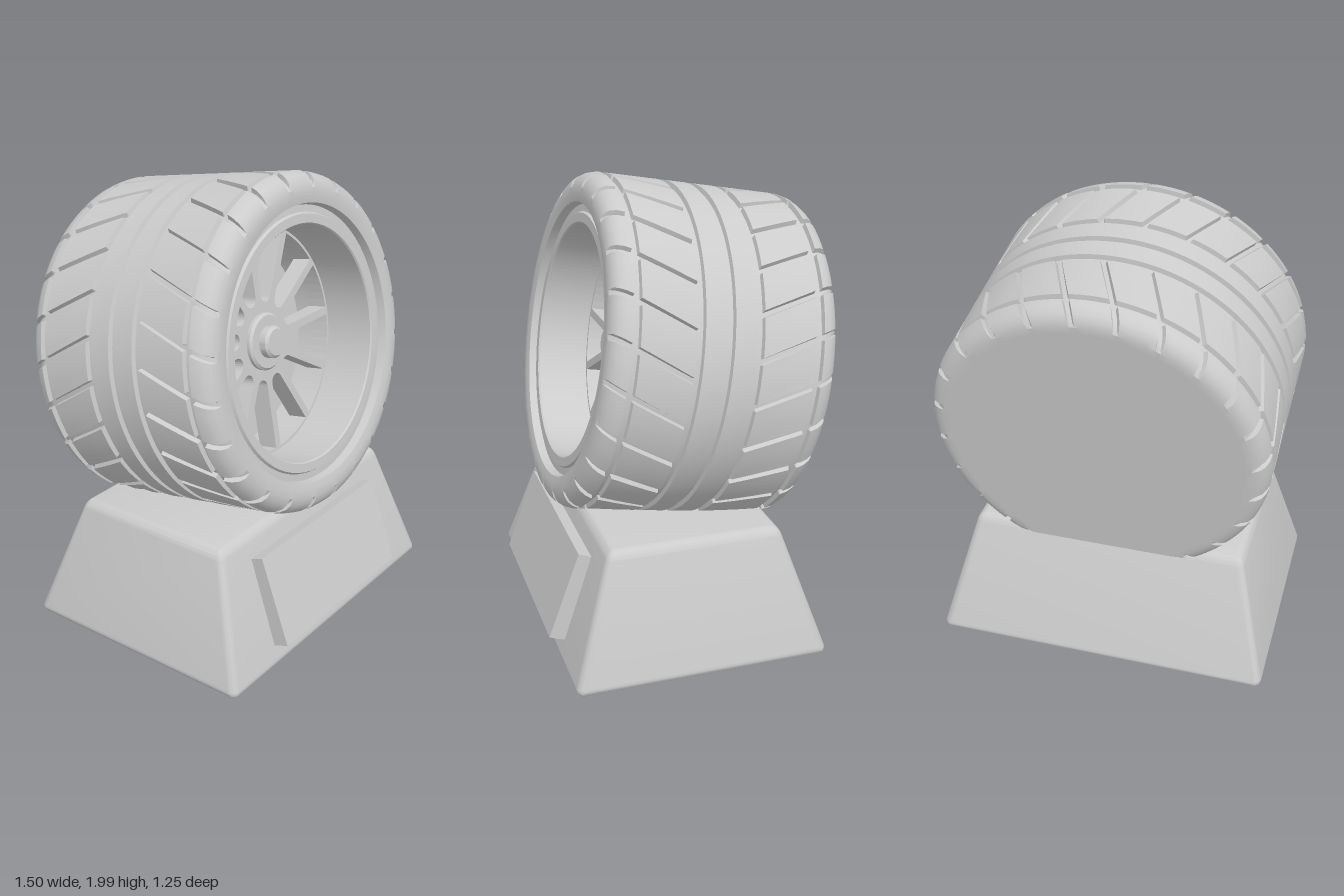
import * as THREE from 'three';
import { toCreasedNormals } from 'three/addons/utils/BufferGeometryUtils.js';
import { RoundedBoxGeometry } from 'three/addons/geometries/RoundedBoxGeometry.js';

const TILT = THREE.MathUtils.degToRad(10);
const CENTER = new THREE.Vector3(0, 1.215, -0.04);
const BASE_TOP = 0.575;
const R = 0.72, DEPTH = 0.02, BLOCKS = 24;
const grey = new THREE.MeshStandardMaterial({ color: 0xcccccc });
const greyDouble = new THREE.MeshStandardMaterial({ color: 0xcccccc, side: THREE.DoubleSide });

function add(parent, name, geometry, material = grey) {
  const mesh = new THREE.Mesh(geometry, material);
  mesh.name = name;
  parent.add(mesh);
  return mesh;
}

// Cross-section rows [s along axle, radius, depth of slanted grooves]
function tyreRows() {
  const half = [
    [0.012, R - DEPTH, 0], [0.016, R, 0], [0.109, R, 0],
    [0.113, R - DEPTH, 0], [0.137, R - DEPTH, 0], [0.141, R, DEPTH],
    [0.215, R, DEPTH], [0.295, R, DEPTH], [0.369, R, DEPTH],
    [0.373, R - DEPTH, 0], [0.397, R - DEPTH, 0], [0.401, R, DEPTH],
    [0.43, 0.713, DEPTH], [0.455, 0.698, DEPTH], [0.471, 0.677, 0.016], [0.48, 0.65, 0],
  ];
  const disc = [0, 0.3, 0.45, 0.52, 0.58, 0.62].map(r => [-0.48, r, 0]);
  const back = half.map(([s, r, d]) => [-s, r, d]).reverse();
  const bead = [[0.48, 0.615, 0], [0.474, 0.587, 0], [0.438, 0.58, 0]];
  return [...disc, ...back, ...half, ...bead];
}

// Tyre: columns follow the slant of the tread, so grooves stay crisp
function tyreGeometry() {
  const period = Math.PI * 2 / BLOCKS;
  const steps = [-0.08, -0.05, 0.05, 0.08, 0.25, 0.42, 0.58, 0.75];
  const rows = tyreRows(), cols = BLOCKS * steps.length;
  const positions = [], index = [];
  for (const [s, r, d] of rows) {
    const stagger = THREE.MathUtils.clamp((s + 0.125) / 0.25, 0, 1) * period / 2;
    const skew = -0.03 + 0.62 * Math.max(0, Math.abs(s) - 0.125) - stagger;
    // flat cut where the tyre rests on the base
    const floor = (BASE_TOP + 0.002 - CENTER.y - s * Math.sin(TILT)) / Math.cos(TILT);
    for (let j = 0; j < cols; j++) {
      const k = j % steps.length;
      const a = (Math.floor(j / steps.length) + steps[k]) * period + skew;
      const rad = r - (k === 1 || k === 2 ? d : 0);
      positions.push(rad * Math.cos(a), Math.max(rad * Math.sin(a), floor), s);
    }
  }
  for (let i = 0; i < rows.length - 1; i++) {
    for (let j = 0; j < cols; j++) {
      const n = (j + 1) % cols;
      const a = i * cols + j, b = i * cols + n, c = a + cols, e = b + cols;
      if (i > 0) index.push(a, b, c);
      index.push(b, e, c);
    }
  }
  const g = new THREE.BufferGeometry();
  g.setAttribute('position', new THREE.Float32BufferAttribute(positions, 3));
  g.setIndex(index);
  return toCreasedNormals(g, 0.5);
}

// Lathe around the axle from [radius, s] points
function axleLathe(points, segments = 72) {
  const g = new THREE.LatheGeometry(points.map(p => new THREE.Vector2(...p)), segments);
  g.rotateX(Math.PI / 2);
  return toCreasedNormals(g, 0.5);
}

// Spoke plate: a disc with twelve round-ended openings
function spokeGeometry() {
  const count = 12, halfGap = Math.PI / count, halfWidth = 0.018, outer = 0.488, d = 0.205;
  const shape = new THREE.Shape().absarc(0, 0, 0.502, 0, Math.PI * 2);
  const fillet = d * Math.sin(halfGap) - halfWidth;
  const edge = halfGap - Math.asin(halfWidth / outer);
  for (let i = 0; i < count; i++) {
    const mid = (i + 0.5) * 2 * halfGap, pts = [];
    for (let j = 0; j <= 6; j++) {
      const a = mid + edge * (j / 3 - 1);
      pts.push(new THREE.Vector2(outer * Math.cos(a), outer * Math.sin(a)));
    }
    for (let j = 0; j <= 10; j++) {
      const a = mid + Math.PI / 2 + halfGap + (Math.PI - 2 * halfGap) * j / 10;
      pts.push(new THREE.Vector2(
        d * Math.cos(mid) + fillet * Math.cos(a), d * Math.sin(mid) + fillet * Math.sin(a)));
    }
    shape.holes.push(new THREE.Path(pts));
  }
  const g = new THREE.ExtrudeGeometry(shape, { depth: 0.09, bevelEnabled: false, curveSegments: 36 });
  return g.translate(0, 0, 0.13);
}

// Base: rounded block tapered towards the top
function baseGeometry() {
  const g = new RoundedBoxGeometry(1.52, BASE_TOP, 1.13, 5, 0.04);
  g.translate(0, BASE_TOP / 2, 0);
  const p = g.attributes.position;
  for (let i = 0; i < p.count; i++) {
    const t = p.getY(i) / BASE_TOP;
    p.setX(i, p.getX(i) * (1 - 0.2 * t));
    p.setZ(i, p.getZ(i) * (1 - 0.336 * t) + 0.027);
  }
  g.deleteAttribute('normal');
  g.deleteAttribute('uv');
  return toCreasedNormals(g, 0.5);
}

export function createModel() {
  const model = new THREE.Group();
  model.name = 'wheelOnStand';

  add(model, 'base', baseGeometry());
  const plaque = add(model, 'plaque', new THREE.BoxGeometry(0.88, 0.4, 0.1));
  plaque.position.set(0, 0.29, 0.511);
  plaque.rotation.x = -THREE.MathUtils.degToRad(20);

  // Wheel leaning back on the stand
  const wheel = new THREE.Group();
  wheel.name = 'wheel';
  wheel.position.copy(CENTER);
  wheel.rotation.x = -TILT;
  model.add(wheel);

  add(wheel, 'tyre', tyreGeometry());
  add(wheel, 'rim', axleLathe([
    [0, 0.02], [0.5, 0.02], [0.5, 0.445], [0.505, 0.452], [0.543, 0.452],
    [0.55, 0.44], [0.585, 0.438]]), greyDouble);
  add(wheel, 'brakeDisc', axleLathe([[0.43, 0.01], [0.43, 0.1], [0, 0.1]]), greyDouble);
  add(wheel, 'spokes', spokeGeometry());
  add(wheel, 'hub', axleLathe([
    [0.125, 0.2], [0.125, 0.235], [0.115, 0.245], [0.07, 0.245],
    [0.07, 0.275], [0.058, 0.288], [0, 0.288]], 48), greyDouble);
  return model;
}
